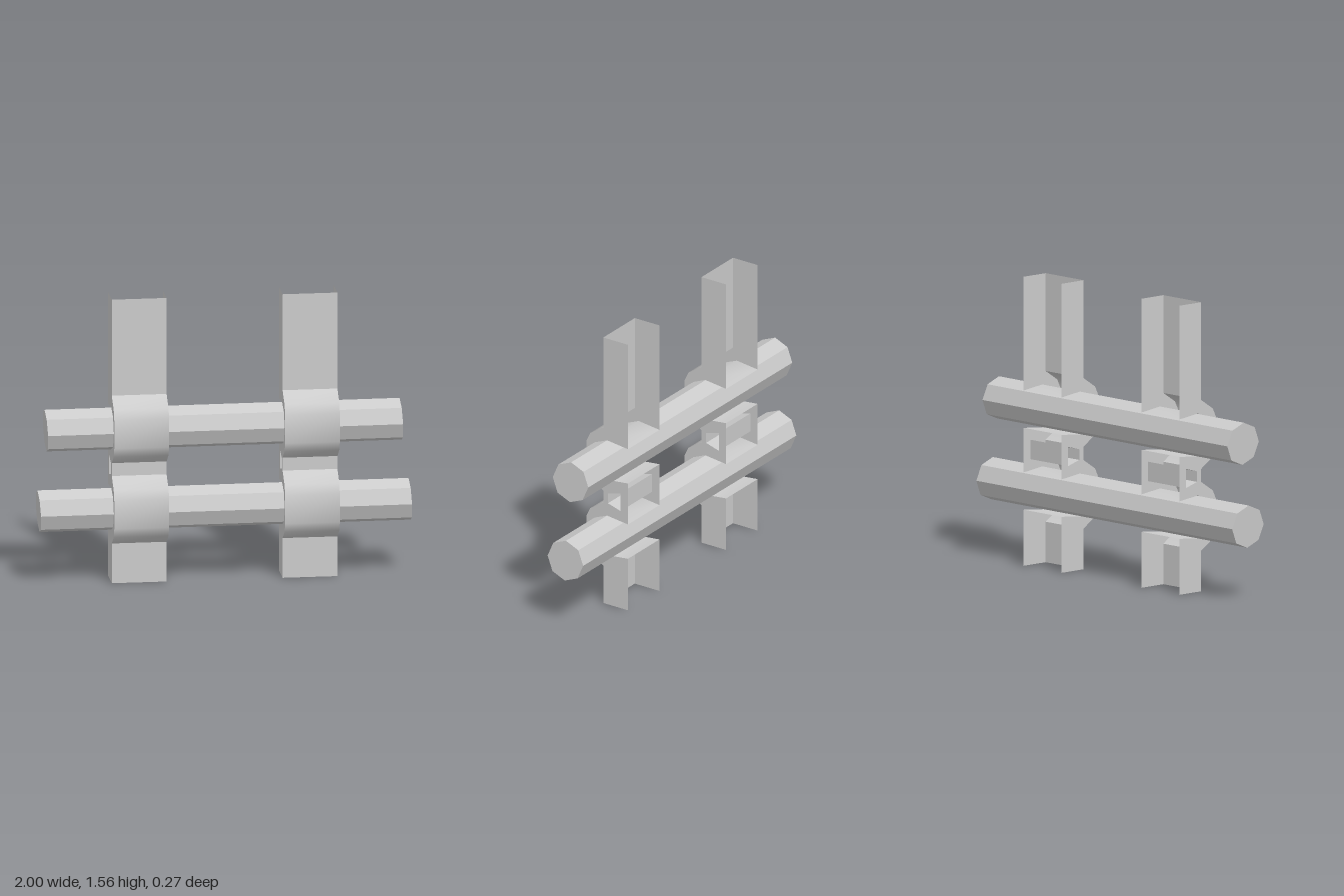
import * as THREE from 'three';
import { toCreasedNormals } from 'three/addons/utils/BufferGeometryUtils.js';

const WIDTH = 0.294;
const PIPE_R = 0.115;
const LOW = 0.405, HIGH = 0.848; // pipe axis heights
const BACK = -0.135, FACE = 0.025;

const sheet = new THREE.MeshStandardMaterial({ color: 0xcccccc, side: THREE.DoubleSide });
const solid = new THREE.MeshStandardMaterial({ color: 0xcccccc, flatShading: true });

// Sheet-metal ribbon: a path of [z, y] points swept across the bracket width
function ribbon(path, name) {
  const pos = [], idx = [];
  path.forEach(([z, y], i) => {
    pos.push(-WIDTH / 2, y, z, WIDTH / 2, y, z);
    if (i) {
      const a = 2 * i - 2;
      idx.push(a, a + 1, a + 3, a, a + 3, a + 2);
    }
  });
  const g = new THREE.BufferGeometry();
  g.setAttribute('position', new THREE.Float32BufferAttribute(pos, 3));
  g.setIndex(idx.reverse());
  g.computeVertexNormals();
  const mesh = new THREE.Mesh(toCreasedNormals(g, 0.7), sheet);
  mesh.name = name;
  return mesh;
}

// Outer bulge around a pipe, bottom to top
const bulge = (c) => [
  [FACE, c - 0.186], [0.11, c - 0.13], [0.135, c - 0.078],
  [0.135, c + 0.078], [0.11, c + 0.13], [FACE, c + 0.186],
];

// Seat around the front half of a pipe with flared lips, top to bottom
function seat(c) {
  const pts = [[BACK, c + 0.1]];
  for (let i = 0; i <= 4; i++) {
    const a = Math.PI / 2 - i * Math.PI / 4;
    pts.push([Math.cos(a) * (PIPE_R + 0.001), c + Math.sin(a) * (PIPE_R + 0.001)]);
  }
  pts.push([BACK, c - 0.102]);
  return pts;
}

function makeBracket() {
  const bracket = new THREE.Group();
  const front = [[FACE, 0], ...bulge(LOW), ...bulge(HIGH), [FACE, 1.563]];
  const window_ = [[-0.005, 0.595], [-0.005, 0.652], [-0.087, 0.676], [-0.087, 0.571]];

  // Side plates, with the pipe seats cut in and a window between them
  const vec = (p) => new THREE.Vector2(p[0], p[1]);
  const outline = [...front, [BACK, 1.563], ...seat(HIGH), ...seat(LOW), [BACK, 0]];
  const shape = new THREE.Shape(outline.map(vec));
  shape.holes.push(new THREE.Path(window_.map(vec)));
  const plate = new THREE.ShapeGeometry(shape).rotateY(-Math.PI / 2);
  for (const s of [-1, 1]) {
    const side = new THREE.Mesh(plate, sheet);
    side.name = s > 0 ? 'leftSidePlate' : 'rightSidePlate';
    side.position.x = s * WIDTH / 2;
    bracket.add(side);
  }

  bracket.add(ribbon(front, 'frontPlate'));
  bracket.add(ribbon(seat(LOW), 'lowerPipeSeat'));
  bracket.add(ribbon(seat(HIGH), 'upperPipeSeat'));
  bracket.add(ribbon([...window_, window_[0]], 'spacerBox'));
  return bracket;
}

// Eight-sided pipe along x, with slightly slanted ends
function makePipe(name, y, x0, x1) {
  const g = new THREE.CylinderGeometry(PIPE_R, PIPE_R, x1 - x0, 8).rotateZ(-Math.PI / 2);
  const p = g.attributes.position;
  for (let i = 0; i < p.count; i++) p.setX(i, p.getX(i) - 0.045 * p.getY(i));
  g.computeVertexNormals();
  const mesh = new THREE.Mesh(g, solid);
  mesh.name = name;
  mesh.position.set((x0 + x1) / 2, y, 0);
  mesh.rotation.z = 0.002;
  return mesh;
}

export function createModel() {
  const model = new THREE.Group();
  model.name = 'pipeRack';
  for (const s of [-1, 1]) {
    const bracket = makeBracket();
    bracket.name = s > 0 ? 'leftBracket' : 'rightBracket';
    bracket.position.x = s * 0.458;
    model.add(bracket);
  }
  model.add(makePipe('lowerPipe', LOW, -0.995, 0.995));
  model.add(makePipe('upperPipe', HIGH, -0.957, 0.947));
  return model;
}
